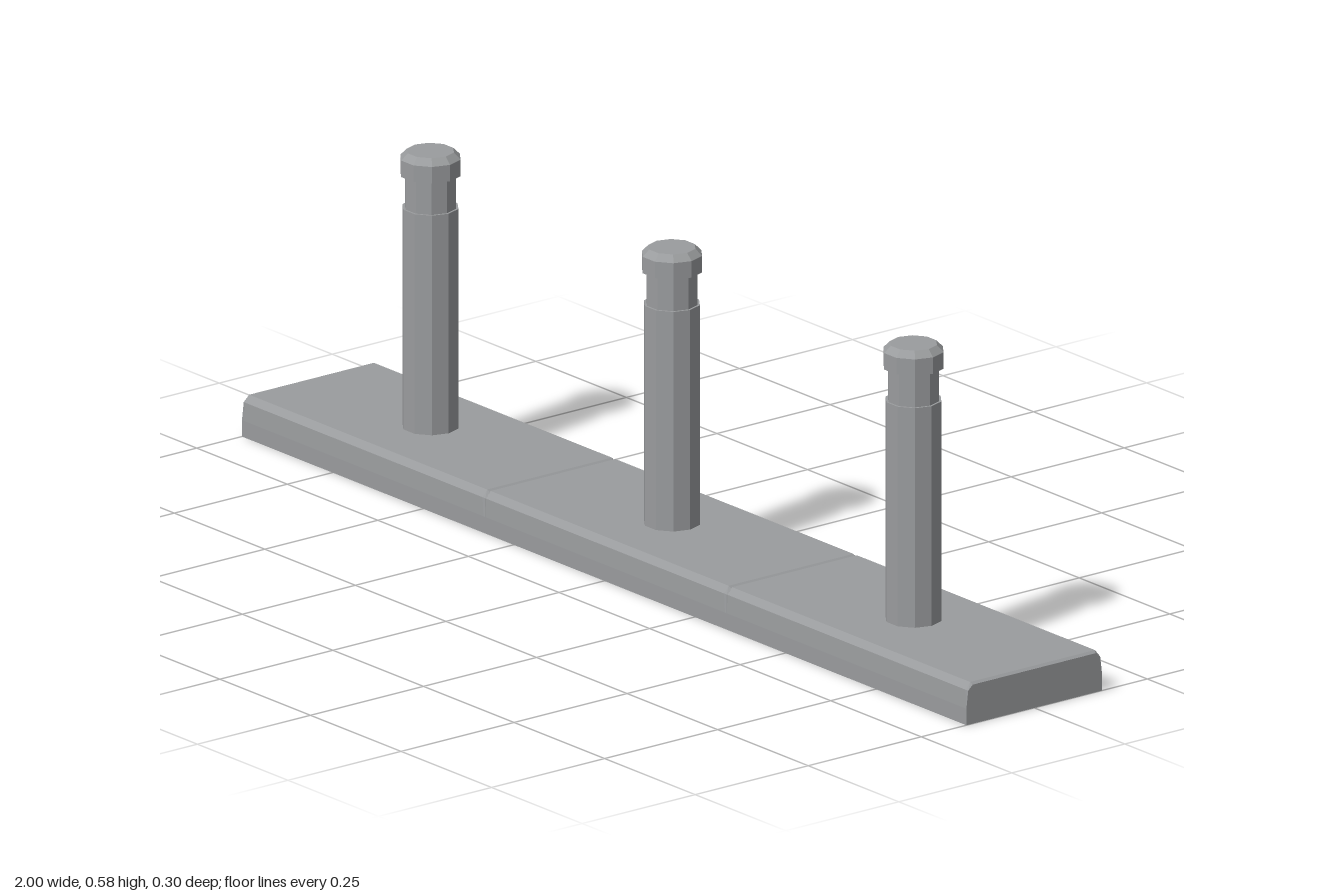
import * as THREE from 'three';

// Lofts a slab along x through [x, section] pairs; a section is a list of [z, y].
function loft(sections) {
  const pos = [], idx = [];
  const n = sections[0][1].length;
  for (const [x, pts] of sections) for (const [z, y] of pts) pos.push(x, y, z);
  for (let s = 0; s < sections.length - 1; s++) {
    for (let i = 0; i < n; i++) {
      const a = s * n + i, b = s * n + (i + 1) % n;
      idx.push(a, a + n, b, b, a + n, b + n);
    }
  }
  const last = (sections.length - 1) * n;
  for (let i = 1; i < n - 1; i++) {
    idx.push(0, i, i + 1);
    idx.push(last, last + i + 1, last + i);
  }
  const g = new THREE.BufferGeometry();
  g.setAttribute('position', new THREE.Float32BufferAttribute(pos, 3));
  g.setIndex(idx);
  const flat = g.toNonIndexed();
  flat.computeVertexNormals();
  return flat;
}

// Mirrors the front half of a section to the back.
const mirrored = (half) => [...half, ...half.map(([z, y]) => [-z, y]).reverse()];

export function createModel() {
  const group = new THREE.Group();
  const gray = new THREE.MeshStandardMaterial({ color: 0x9a9c9e, flatShading: true });
  gray.name = 'gray';

  // Base tile: chamfered long edges, with slightly sunken ends that form V joints
  const full = mirrored([[0.15, 0], [0.15, 0.03], [0.148, 0.063], [0.138, 0.075]]);
  const end = mirrored([[0.15, 0], [0.15, 0.03], [0.146, 0.062], [0.136, 0.071]]);
  const h = 1 / 3, e = 0.005;
  const tileGeo = loft([[-h, end], [-h + e, full], [h - e, full], [h, end]]);

  // Ten-sided post: shaft, narrow neck and bevelled cap
  const profile = [
    [0.05, 0.07], [0.05, 0.475], [0.046, 0.475], [0.046, 0.535],
    [0.054, 0.535], [0.054, 0.565], [0.042, 0.577], [0, 0.577],
  ].map(([r, y]) => new THREE.Vector2(r, y));
  const postGeo = new THREE.LatheGeometry(profile, 10, Math.PI / 2);

  ['right', 'middle', 'left'].forEach((side, i) => {
    const x = (i - 1) * 2 / 3;
    const tile = new THREE.Mesh(tileGeo, gray);
    tile.name = side + 'BaseTile';
    tile.position.x = x;
    const post = new THREE.Mesh(postGeo, gray);
    post.name = side + 'Post';
    post.position.x = x;
    group.add(tile, post);
  });
  return group;
}
